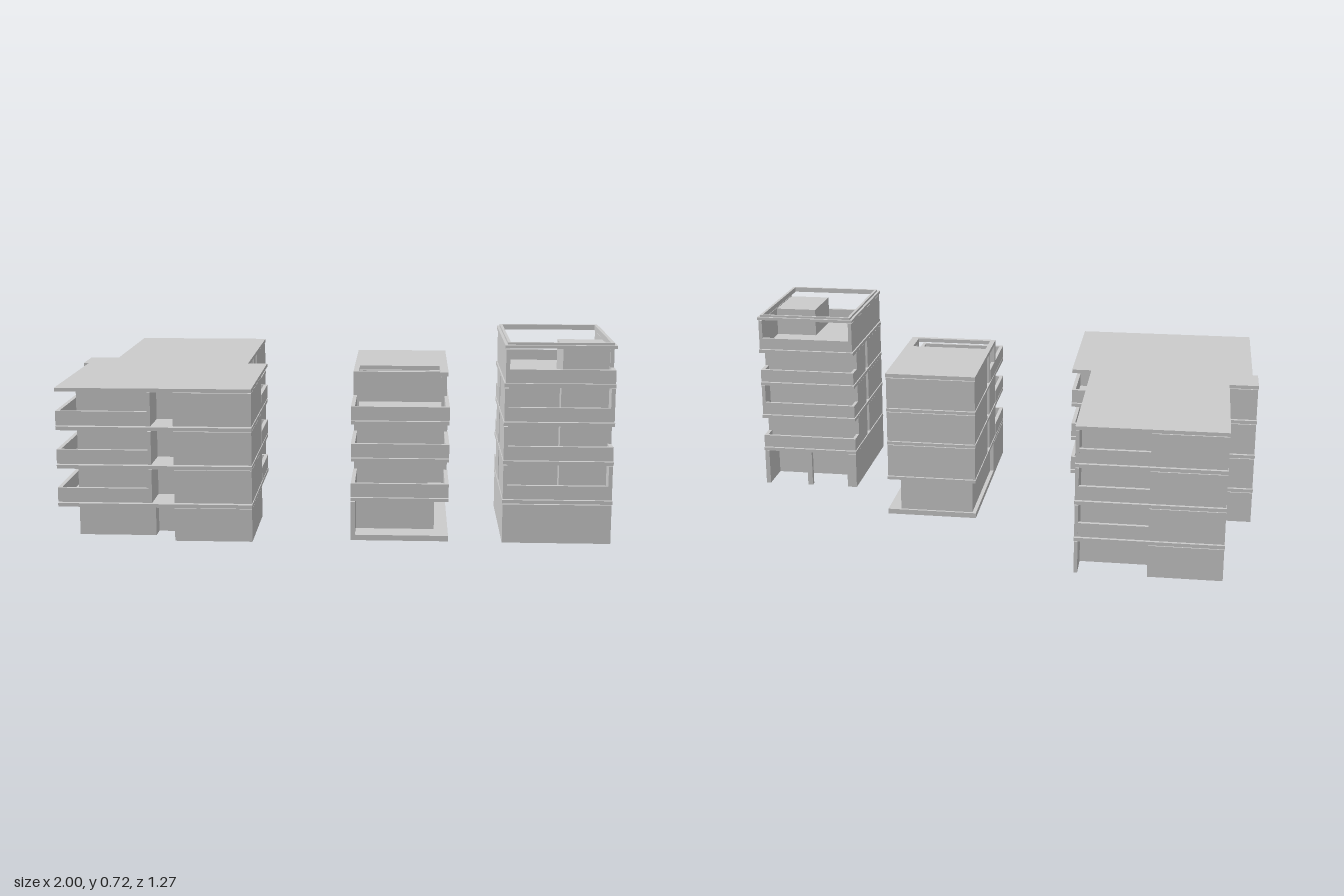
import * as THREE from 'three';

const grey = new THREE.MeshStandardMaterial({ color: 0xcccccc, flatShading: true });

// Rectangle as a plan outline of [x, z] points
const rect = (x0, x1, z0, z1) => [[x0, z0], [x1, z0], [x1, z1], [x0, z1]];

// Raise a plan outline (with optional holes) from y0 to y1
function prism(parent, name, plan, y0, y1, holes = []) {
  // Reversed to run counter-clockwise, so that hole walls face inwards
  const toVec = (pts) => pts.map(([x, z]) => new THREE.Vector2(x, -z)).reverse();
  const shape = new THREE.Shape(toVec(plan));
  holes.forEach((h) => shape.holes.push(new THREE.Path(toVec(h))));
  const geo = new THREE.ExtrudeGeometry(shape, { depth: y1 - y0, bevelEnabled: false });
  geo.rotateX(-Math.PI / 2);
  geo.translate(0, y0, 0);
  const mesh = new THREE.Mesh(geo, grey);
  mesh.name = name;
  parent.add(mesh);
}

function box(parent, name, x0, x1, y0, y1, z0, z1) {
  const mesh = new THREE.Mesh(new THREE.BoxGeometry(x1 - x0, y1 - y0, z1 - z0), grey);
  mesh.position.set((x0 + x1) / 2, (y0 + y1) / 2, (z0 + z1) / 2);
  mesh.name = name;
  parent.add(mesh);
}

function group(name) {
  const g = new THREE.Group();
  g.name = name;
  return g;
}

// Long block: four storeys, stepped plan, corner balconies
function longBlock() {
  const g = group('longBlock');
  const slab = [
    [-0.89, -0.635], [-0.355, -0.635], [-0.355, 0.05], [-0.28, 0.05], [-0.28, 0.635],
    [-0.98, 0.635], [-0.98, 0.07], [-1, 0.07], [-1, -0.07], [-0.89, -0.07],
  ];
  // Narrow window slots along the right face
  const slots = [];
  for (const z of [-0.3, -0.18, -0.08]) {
    slots.push([-0.357, z], [-0.39, z], [-0.39, z + 0.06], [-0.357, z + 0.06]);
  }
  const plan = [
    [-0.888, -0.633], [-0.62, -0.633], [-0.62, -0.53], [-0.37, -0.53], [-0.37, -0.633], [-0.357, -0.633],
    ...slots, [-0.357, 0.28], [-0.281, 0.28], [-0.281, 0.63], [-0.56, 0.63], [-0.56, 0.5], [-0.64, 0.5],
    [-0.64, 0.56], [-0.92, 0.56], [-0.92, 0.2], [-0.978, 0.2], [-0.978, 0.068], [-0.998, 0.068],
    [-0.998, -0.068], [-0.888, -0.068],
  ];
  // The ground storey is hollow underneath
  const hollow = [
    [-0.875, -0.515], [-0.405, -0.515], [-0.405, 0.295], [-0.295, 0.295], [-0.295, 0.615], [-0.545, 0.615],
    [-0.545, 0.485], [-0.655, 0.485], [-0.655, 0.545], [-0.905, 0.545], [-0.905, 0.185], [-0.963, 0.185],
    [-0.963, 0.053], [-0.983, 0.053], [-0.983, -0.053], [-0.875, -0.053],
  ];
  for (let i = 0; i < 4; i++) {
    const y = i * 0.14;
    prism(g, 'storeyWalls', plan, y, y + 0.12, i ? [] : [hollow]);
    prism(g, i < 3 ? 'floorSlab' : 'roofSlab', slab, y + 0.123, y + 0.136);
    if (!i) continue;
    const top = y + 0.052;
    box(g, 'loggiaEndWall', -0.652, -0.64, y, y + 0.12, 0.5, 0.632);
    box(g, 'frontParapet', -0.98, -0.652, y, top, 0.618, 0.632);
    box(g, 'leftParapet', -0.98, -0.966, y, top, 0.2, 0.618);
    box(g, 'rightParapet', -0.294, -0.28, y, top, 0.05, 0.28);
    box(g, 'rightParapetEnd', -0.357, -0.294, y, top, 0.05, 0.064);
    box(g, 'backParapet', -0.62, -0.37, y, top, -0.632, -0.618);
  }
  return g;
}

// Middle block: ground floor set back on a plate, roof terrace with an open frame
function middleBlock() {
  const g = group('middleBlock');
  const hollow = [rect(0.1, 0.33, -0.155, 0.485)];
  prism(g, 'basePlate', rect(0.07, 0.42, -0.18, 0.59), 0, 0.02, hollow);
  // Hollow ground floor with window slots on the right
  const ground = [[0.085, -0.17], [0.37, -0.17]];
  for (const z of [-0.15, -0.05, 0.03, 0.16, 0.28]) {
    ground.push([0.37, z], [0.345, z], [0.345, z + 0.04], [0.37, z + 0.04]);
  }
  ground.push([0.37, 0.5], [0.085, 0.5]);
  prism(g, 'groundWalls', ground, 0.02, 0.142, hollow);
  box(g, 'groundSideWall', 0.07, 0.085, 0.02, 0.142, 0.3, 0.59);

  const storeys = [[0.16, 0.287], [0.305, 0.422], [0.44, 0.56]];
  storeys.forEach(([y0, y1], i) => {
    const topFloor = i === 2;
    box(g, 'floorSlab', 0.07, 0.42, y0 - 0.015, y0 - 0.003, -0.18, 0.59);
    const walls = [
      [0.072, -0.178], [0.418, -0.178], [0.418, -0.155], [0.4, -0.155], [0.4, -0.11], [0.418, -0.11], [0.418, 0.22],
    ];
    if (topFloor) walls.push([0.072, 0.22]);
    else walls.push([0.418, 0.36], [0.345, 0.36], [0.345, 0.5], [0.09, 0.5], [0.09, 0.36], [0.072, 0.36]);
    // Window recess on the left face
    walls.push([0.072, 0.2], [0.095, 0.2], [0.095, 0.14], [0.072, 0.14]);
    prism(g, 'storeyWalls', walls, y0, y1);
    const z0 = topFloor ? 0.22 : 0.36;
    const top = y0 + 0.05;
    box(g, 'frontParapet', 0.07, 0.42, y0, top, 0.576, 0.59);
    box(g, 'leftParapet', 0.07, 0.084, y0, top, z0, 0.576);
    box(g, 'rightParapet', 0.406, 0.42, y0, top, z0, 0.576);
  });

  prism(g, 'roofAndOpenFrame', rect(0.07, 0.42, -0.18, 0.362), 0.563, 0.578, [rect(0.09, 0.39, 0.22, 0.342)]);
  for (const x of [0.07, 0.395]) box(g, 'framePost', x, x + 0.02, 0.44, 0.563, 0.335, 0.36);
  return g;
}

// Tower: balconies front and back, roof terrace under a ring beam
function tower() {
  const g = group('tower');
  // Hollow ground floor with an open bay at the back
  prism(g, 'groundWalls', [
    [0.612, 0.083], [0.65, 0.083], [0.65, 0.22], [0.98, 0.22], [0.98, 0.083], [0.998, 0.083], [0.998, 0.595], [0.612, 0.595],
  ], 0, 0.141, [rect(0.627, 0.983, 0.235, 0.58)]);
  box(g, 'groundPost', 0.8, 0.82, 0, 0.141, 0.085, 0.105);

  [[0.16, 0.283], [0.302, 0.423], [0.442, 0.561]].forEach(([y0, y1], i) => {
    box(g, 'floorSlab', 0.61, 1, y0 - 0.016, y0 - 0.003, 0.08, 0.595);
    box(g, 'storeyWalls', 0.625, 0.998, y0, y1, 0.15, 0.53);
    const top = y0 + 0.05;
    box(g, 'frontParapet', 0.612, 0.998, y0, top, 0.58, 0.594);
    box(g, 'backParapet', 0.612, 0.998, y0, top, 0.083, 0.095);
    box(g, 'leftParapet', 0.612, 0.624, y0, top, 0.095, 0.15);
    // The closed corner swaps between front and back on each storey
    if (i === 1) {
      box(g, 'backEndWall', 0.984, 0.998, y0, y1, 0.083, 0.15);
      box(g, 'rightFrontParapet', 0.984, 0.998, y0, top, 0.53, 0.58);
    } else {
      box(g, 'frontEndWall', 0.984, 0.998, y0, y1, 0.53, 0.594);
      box(g, 'rightBackParapet', 0.984, 0.998, y0, top, 0.095, 0.15);
    }
    box(g, 'frontDivider', 0.81, 0.83, y0, y1, 0.53, 0.58);
    // Left face in two panels with a window slot between
    box(g, 'leftPanel', 0.612, 0.626, y0, y1, 0.15, 0.3);
    box(g, 'leftPanel', 0.612, 0.626, y0, y1, 0.34, 0.594);
  });

  // Roof terrace
  box(g, 'terraceSlab', 0.61, 1, 0.564, 0.578, 0.08, 0.595);
  box(g, 'terraceFloor', 0.628, 0.984, 0.578, 0.586, 0.097, 0.58);
  box(g, 'terraceFrontParapet', 0.614, 0.998, 0.58, 0.628, 0.58, 0.595);
  box(g, 'terraceBackParapet', 0.614, 0.998, 0.58, 0.625, 0.085, 0.097);
  box(g, 'terraceLeftWall', 0.614, 0.628, 0.58, 0.698, 0.085, 0.595);
  box(g, 'terraceRightWall', 0.984, 0.998, 0.58, 0.698, 0.085, 0.53);
  box(g, 'terraceRightParapet', 0.984, 0.998, 0.58, 0.628, 0.53, 0.58);
  box(g, 'stairHouse', 0.82, 0.984, 0.582, 0.695, 0.3, 0.52);
  const hole = [rect(0.63, 0.98, 0.097, 0.573)];
  prism(g, 'ringBeam', rect(0.61, 1, 0.077, 0.597), 0.703, 0.714, hole);
  prism(g, 'ringCap', rect(0.62, 0.99, 0.087, 0.583), 0.714, 0.722, hole);
  return g;
}

export function createModel() {
  const model = group('housingBlocks');
  model.add(longBlock(), middleBlock(), tower());
  return model;
}
